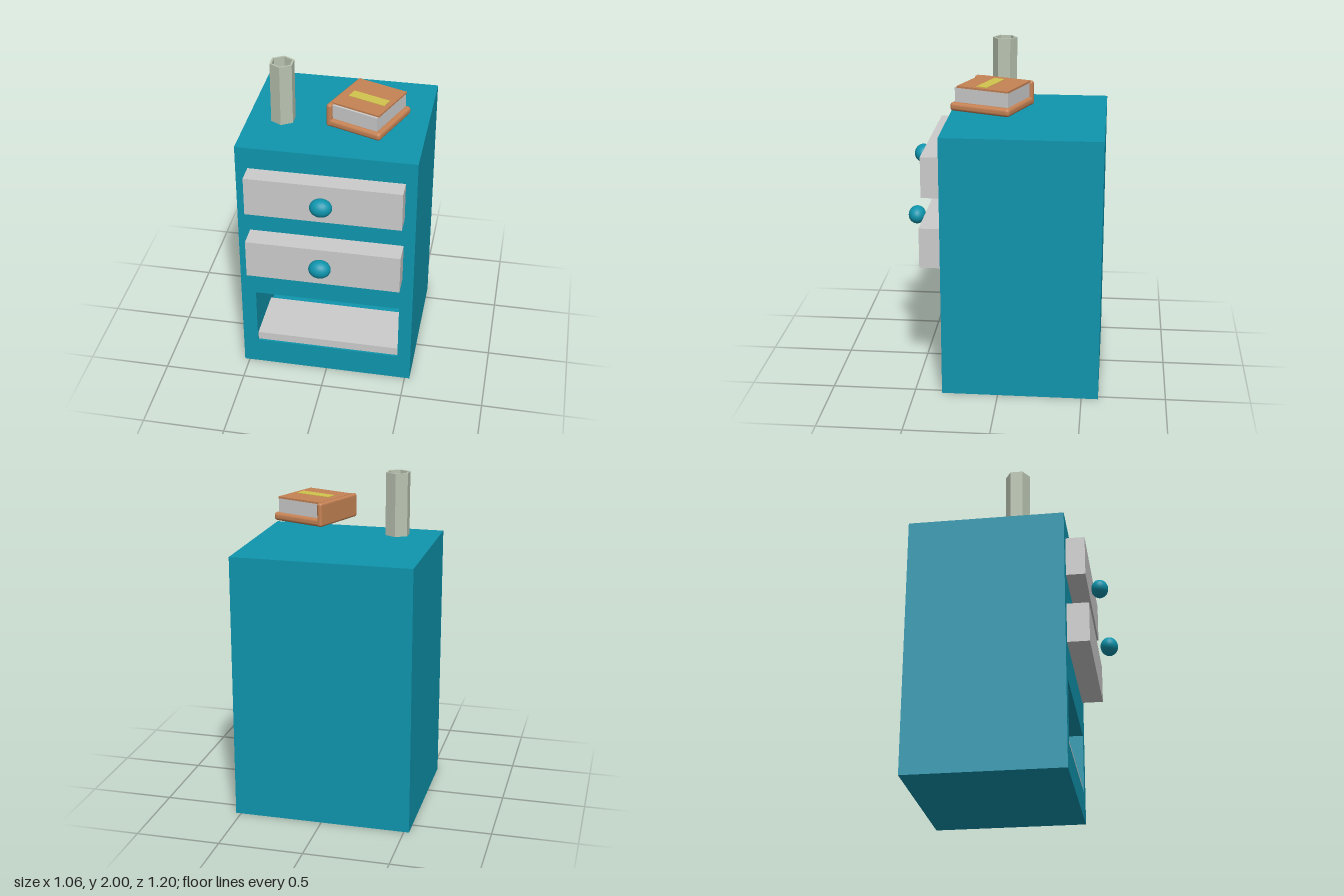
import * as THREE from 'three';
import { RoundedBoxGeometry } from 'three/addons/geometries/RoundedBoxGeometry.js';

const mat = (color, flat = true) => new THREE.MeshStandardMaterial({ color, flatShading: flat });
const teal = mat(0x0f95ad);
const tealSmooth = mat(0x0f95ad, false);
const grey = mat(0xcccccc);
const clay = mat(0xb9c3b1);
const leather = mat(0xc58254, false);
const gold = mat(0xd2c44d);

function add(parent, name, geometry, material, x = 0, y = 0, z = 0) {
  const mesh = new THREE.Mesh(geometry, material);
  mesh.name = name;
  mesh.position.set(x, y, z);
  parent.add(mesh);
  return mesh;
}

// Box given by its limits on each axis
function span(parent, name, material, [x0, x1], [y0, y1], [z0, z1]) {
  return add(parent, name, new THREE.BoxGeometry(x1 - x0, y1 - y0, z1 - z0), material,
    (x0 + x1) / 2, (y0 + y1) / 2, (z0 + z1) / 2);
}

// Box without its +z face
function openBox(w, h, d) {
  const g = new THREE.BoxGeometry(w, h, d);
  const idx = Array.from(g.index.array);
  idx.splice(24, 6);
  g.setIndex(idx);
  g.clearGroups();
  return g;
}

function rectangle(path, x0, x1, y0, y1) {
  path.moveTo(x0, y0).lineTo(x1, y0).lineTo(x1, y1).lineTo(x0, y1).closePath();
  return path;
}

function buildCabinet() {
  const cabinet = new THREE.Group();
  cabinet.name = 'cabinet';
  add(cabinet, 'cabinetBody', openBox(1.062, 1.59, 0.935), teal, 0, 0.795, -0.1325);

  // Front panel with the niche opening
  const front = rectangle(new THREE.Shape(), -0.531, 0.531, 0, 1.59);
  front.holes.push(rectangle(new THREE.Path(), -0.44, 0.45, 0.17, 0.55));
  add(cabinet, 'frontPanel', new THREE.ShapeGeometry(front), teal, 0, 0, 0.335);

  // Niche walls face inward
  const niche = openBox(0.89, 0.38, 0.53);
  niche.scale(-1, 1, 1);
  niche.computeVertexNormals();
  add(cabinet, 'niche', niche, teal, 0.005, 0.36, 0.07);
  span(cabinet, 'nicheShelf', grey, [-0.438, 0.448], [0.172, 0.225], [-0.03, 0.325]);
  return cabinet;
}

function buildDrawer(name, y0, y1, zFront, knobY, knobZ) {
  const drawer = new THREE.Group();
  drawer.name = name;
  span(drawer, 'drawerFront', grey, [-0.458, 0.464], [y0, y1], [0.3, zFront]);
  add(drawer, 'knob', new THREE.SphereGeometry(1, 32, 16), tealSmooth, 0.003, knobY, knobZ)
    .scale.set(0.066, 0.055, 0.053);
  return drawer;
}

// Open six-sided tube, corners towards +z and -z
function buildCup() {
  const ring = (path, r) => {
    for (let i = 0; i < 6; i++) {
      const a = Math.PI / 2 + i * Math.PI / 3;
      path[i ? 'lineTo' : 'moveTo'](r * Math.cos(a), r * Math.sin(a));
    }
    return path.closePath();
  };
  const outline = ring(new THREE.Shape(), 0.075);
  outline.holes.push(ring(new THREE.Path(), 0.062));
  const g = new THREE.ExtrudeGeometry(outline, { depth: 0.375, bevelEnabled: false });
  g.rotateX(-Math.PI / 2);
  const cup = new THREE.Mesh(g, clay);
  cup.name = 'hexagonalCup';
  cup.position.set(-0.308, 1.625, 0.03);
  return cup;
}

function buildBook() {
  const book = new THREE.Group();
  book.name = 'book';
  const cover = (name, w, h, d, r, x, y, z) =>
    add(book, name, new RoundedBoxGeometry(w, h, d, 3, r), leather, x, y, z);
  cover('bottomCover', 0.352, 0.05, 0.378, 0.02, 0, 0.027, 0);
  cover('spine', 0.034, 0.143, 0.378, 0.015, -0.159, 0.0735, 0);
  span(book, 'topCover', leather, [-0.16, 0.15], [0.136, 0.147], [-0.172, 0.153]);
  span(book, 'pages', grey, [-0.15, 0.147], [0.045, 0.137], [-0.17, 0.167]);
  span(book, 'coverLabel', gold, [-0.111, 0.121], [0.14, 0.15], [-0.026, 0.042]);
  book.position.set(0.203, 1.686, 0.058);
  book.rotation.y = -0.36;
  return book;
}

export function createModel() {
  const model = new THREE.Group();
  model.name = 'nightstand';
  model.add(
    buildCabinet(),
    buildDrawer('upperDrawer', 1.21, 1.455, 0.449, 1.343, 0.498),
    buildDrawer('lowerDrawer', 0.778, 1.022, 0.466, 0.946, 0.546),
    buildCup(),
    buildBook(),
  );
  return model;
}
